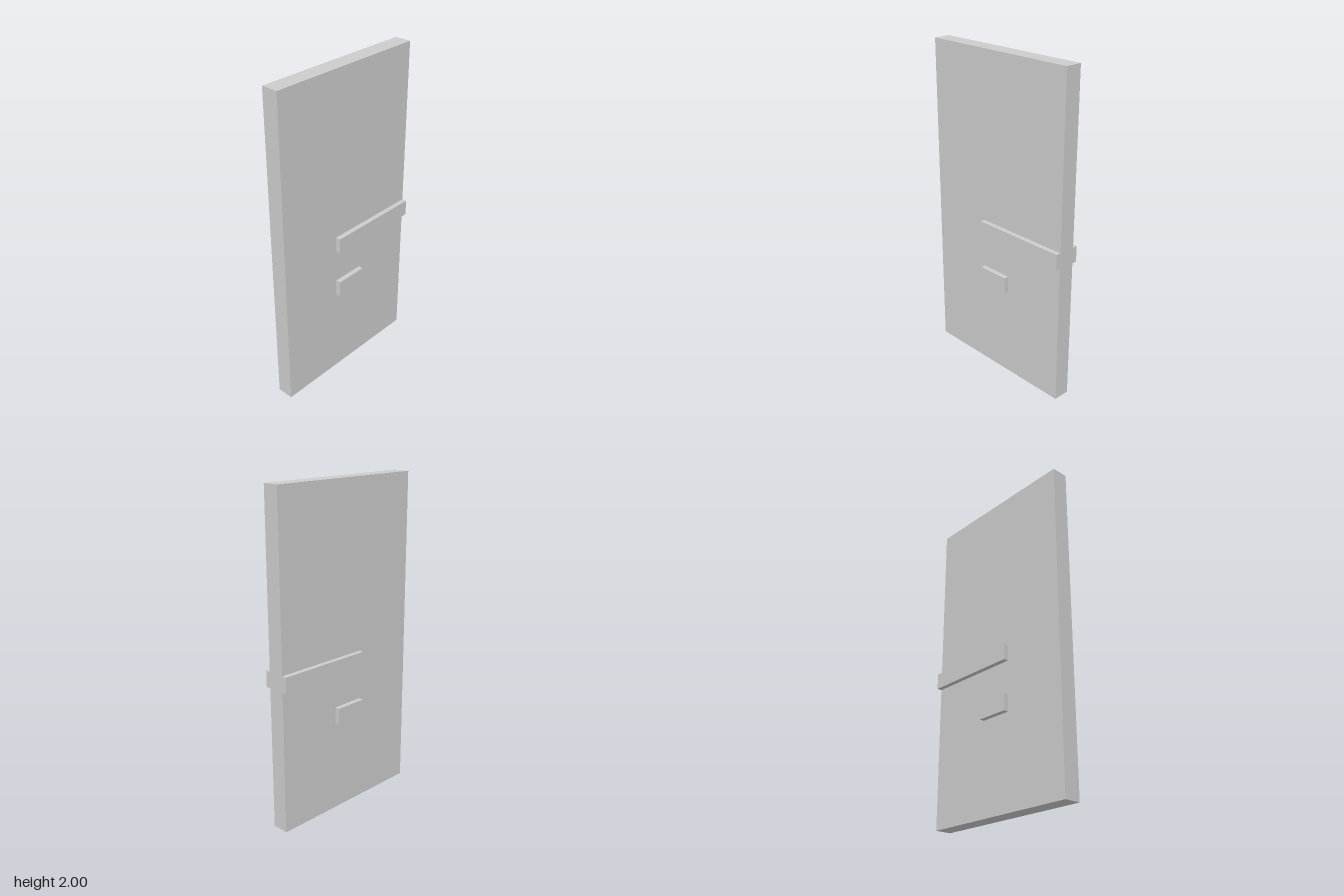
import * as THREE from 'three';

export function createModel() {
  const model = new THREE.Group();
  const material = new THREE.MeshStandardMaterial({ color: 0xcccccc, flatShading: true });

  // Box given by its x and y limits, centred on z = 0
  const addSlab = (name, x0, x1, y0, y1, depth) => {
    const mesh = new THREE.Mesh(new THREE.BoxGeometry(x1 - x0, y1 - y0, depth), material);
    mesh.position.set((x0 + x1) / 2, (y0 + y1) / 2, 0);
    mesh.name = name;
    model.add(mesh);
  };

  // Upright door panel
  addSlab('doorPanel', -0.513, 0.513, 0, 2, 0.103);
  // Long bar reaching the left edge, standing out on both faces
  addSlab('latchBar', -0.103, 0.513, 0.876, 0.974, 0.164);
  // Short plate below it, also on both faces
  addSlab('lowerPlate', -0.103, 0.103, 0.565, 0.667, 0.164);

  return model;
}
